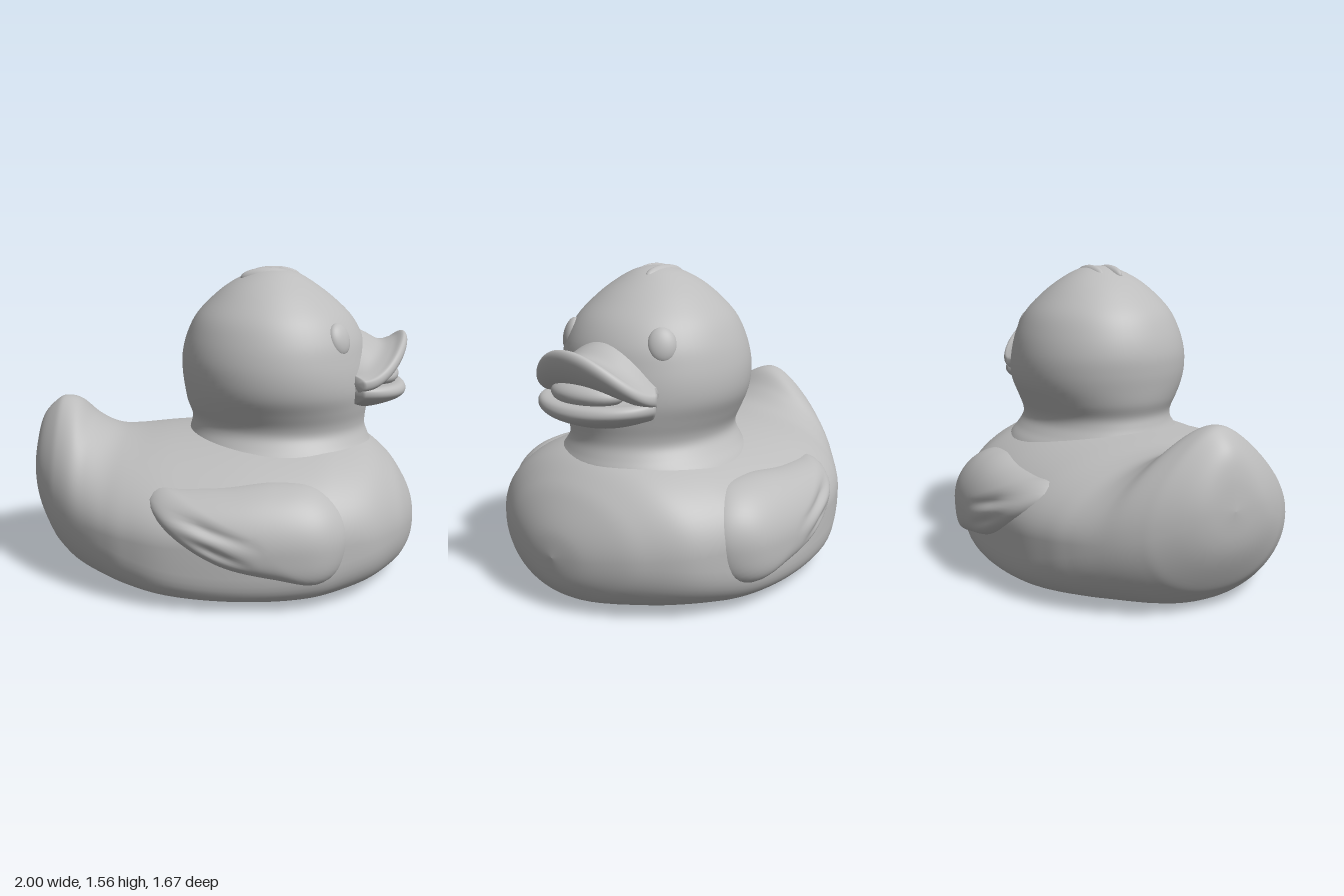
import * as THREE from 'three';

const rubber = new THREE.MeshStandardMaterial({ color: 0xbcbcbc });
rubber.name = 'grey rubber';

// Smooth interpolation through rows of numbers, u from 0 to 1
function spline(rows, u) {
  const n = rows.length - 1, f = Math.min(u * n, n - 1e-9), i = Math.floor(f), t = f - i;
  const at = k => rows[Math.max(0, Math.min(n, k))];
  const [a, b, c, d] = [at(i - 1), at(i), at(i + 1), at(i + 2)];
  return b.map((_, k) => b[k] + 0.5 * t * (c[k] - a[k]
    + t * (2 * a[k] - 5 * b[k] + 4 * c[k] - d[k] + t * (3 * (b[k] - c[k]) + d[k] - a[k]))));
}

// Closed skin over a row of closed loops, both ends capped, faces turned outward
function loft(name, loops) {
  const m = loops[0].length, pos = loops.flat(2), idx = [];
  for (let i = 0; i < loops.length - 1; i++) {
    for (let j = 0; j < m; j++) {
      const k = (j + 1) % m, a = i * m + j, b = i * m + k, c = a + m, d = b + m;
      idx.push(a, c, b, b, c, d);
    }
  }
  [0, loops.length - 1].forEach((row, end) => {
    const centre = pos.length / 3;
    for (let k = 0; k < 3; k++) pos.push(loops[row].reduce((s, p) => s + p[k], 0) / m);
    for (let j = 0; j < m; j++) {
      const a = row * m + j, b = row * m + (j + 1) % m;
      end ? idx.push(b, a, centre) : idx.push(a, b, centre);
    }
  });
  const v = i => new THREE.Vector3().fromArray(pos, i * 3);
  let volume = 0;
  for (let i = 0; i < idx.length; i += 3) volume += v(idx[i]).dot(v(idx[i + 1]).cross(v(idx[i + 2])));
  if (volume < 0) idx.reverse();
  const geo = new THREE.BufferGeometry();
  geo.setAttribute('position', new THREE.Float32BufferAttribute(pos, 3));
  geo.setIndex(idx);
  geo.computeVertexNormals();
  const mesh = new THREE.Mesh(geo, rubber);
  mesh.name = name;
  return mesh;
}

function ellipsoid(name, [x, y, z], [rx, ry, rz]) {
  const mesh = new THREE.Mesh(new THREE.SphereGeometry(1, 32, 20), rubber);
  mesh.name = name;
  mesh.position.set(x, y, z);
  mesh.scale.set(rx, ry, rz);
  return mesh;
}

// Body stations from tail to breast: x, bottom, top, half width, height of widest line
const BODY = [
  [-1, .525, .525, 0, .525], [-.985, .38, .68, .14, .52], [-.95, .27, .79, .235, .47],
  [-.88, .14, .865, .345, .42], [-.83, .08, .885, .405, .40], [-.76, .025, .865, .475, .38],
  [-.68, .003, .785, .54, .36], [-.58, 0, .72, .61, .35], [-.46, 0, .705, .675, .34],
  [-.25, 0, .72, .745, .33], [.1, 0, .74, .775, .33], [.4, 0, .74, .755, .33],
  [.57, .003, .73, .695, .33], [.73, .01, .69, .6, .32], [.85, .025, .60, .455, .31],
  [.92, .06, .51, .335, .30], [.98, .14, .39, .165, .28], [1, .27, .27, 0, .27],
];
// Squareness of the underside, greatest amidships so the flat base is oval
const lowerPower = x => 2.1 + 3.6 * Math.max(0, 1 - ((x - .08) / .88) ** 2) ** 2;

function makeBody() {
  const loops = [];
  for (let i = 0; i <= 110; i++) {
    const [x, b, t, w, m] = spline(BODY, i / 110), loop = [];
    // The upper half narrows to a blunt horn at the tail
    const pinch = .38 * THREE.MathUtils.smoothstep(-x, .4, .85);
    for (let j = 0; j < 72; j++) {
      const a = j / 72 * Math.PI * 2, c = Math.cos(a), s = Math.sin(a);
      const e = 2 / lowerPower(x);
      loop.push(s < 0
        ? [x, m - (m - b) * Math.abs(s) ** e, w * Math.sign(c) * Math.abs(c) ** e]
        : [x, m + (t - m) * s, w * c * (1 - pinch * s * s)]);
    }
    loops.push(loop);
  }
  return loft('body', loops);
}

// Body half width and upward lean at a point of the side
function bodySide(x, y) {
  let lo = 0, hi = 1;
  for (let i = 0; i < 30; i++) {
    const mid = (lo + hi) / 2;
    if (spline(BODY, mid)[0] < x) lo = mid; else hi = mid;
  }
  const [, b, t, w, m] = spline(BODY, lo);
  const r = y > m ? (y - m) / (t - m) : (y - m) / (m - b);
  const p = y > m ? 2 : lowerPower(x);
  return { z: w * Math.max(0, 1 - Math.abs(r) ** p) ** (1 / p), lean: Math.max(0, r) };
}

// Wing: a pad that follows the side of the body, with feather grooves
function makeWing(name, side) {
  const outline = new THREE.CatmullRomCurve3([
    [-.345, .53], [-.31, .57], [-.2, .575], [0, .585], [.27, .607], [.46, .58], [.565, .48], [.595, .35],
    [.55, .2], [.46, .15], [.27, .185], [0, .25], [-.18, .35], [-.31, .46],
  ].map(([x, y]) => new THREE.Vector3(x, y, 0)), true);
  const rim = outline.getSpacedPoints(72).slice(0, 72);
  const grooves = [[-.3, .5, .15, .37], [-.2, .4, .12, .28]];
  const loops = [];
  for (let k = 0; k < 22; k++) {
    const s = Math.cos(k / 22 * Math.PI / 2);
    loops.push(rim.map(p => {
      const x = .15 + (p.x - .15) * s, y = .4 + (p.y - .4) * s;
      let h = .08 * (1 - s ** 5) ** .6 - .02;
      for (const [x0, y0, x1, y1] of grooves) {
        const f = (x - x0) / (x1 - x0), gap = y - (y0 + (y1 - y0) * f);
        const fade = Math.max(0, 1 - Math.abs(f - .5) * 1.6);
        h -= .02 * fade * Math.exp(-((gap / .025) ** 2)) * (1 - s ** 6);
      }
      const { z, lean } = bodySide(x, y);
      return [x, y + h * .6 * lean, side * (z + h)];
    }));
  }
  return loft(name, loops);
}

// Head and neck levels: y, back x, front x, half width
const HEAD = [
  [.62, -.2, .78, .485], [.66, -.2, .77, .457], [.70, -.19, .752, .42], [.75, -.175, .735, .388],
  [.80, -.17, .735, .39],
  [.87, -.195, .745, .42], [.95, -.21, .75, .455], [1.03, -.22, .745, .467], [1.12, -.22, .73, .46],
  [1.22, -.195, .705, .433], [1.32, -.145, .645, .382], [1.41, -.06, .55, .3],
  [1.48, .03, .455, .212], [1.53, .13, .37, .12], [1.552, .21, .3, .04],
];

function makeHead() {
  const loops = [];
  for (let i = 0; i <= 70; i++) {
    const [y, x0, x1, w] = spline(HEAD, i / 70), loop = [];
    for (let j = 0; j < 64; j++) {
      const a = j / 64 * Math.PI * 2;
      loop.push([(x0 + x1) / 2 + (x1 - x0) / 2 * Math.cos(a), y, w * Math.sin(a)]);
    }
    loops.push(loop);
  }
  return loft('head', loops);
}

// Bill half; profile rows: middle x, middle y, corner x, corner y, half width
function makeBill(name, rows) {
  const loops = [];
  for (let i = 0; i <= 48; i++) {
    const a = (i / 48 - .5) * Math.PI, c = Math.cos(a), loop = [];
    for (let j = 0; j <= 40; j++) {
      const [x, y, xe, ye, w] = spline(rows, j / 40);
      loop.push([xe + (x - xe) * c, ye + (y - ye) * c * c, w * Math.sin(a)]);
    }
    loops.push(loop);
  }
  return loft(name, loops);
}

export function createModel() {
  const duck = new THREE.Group();
  duck.name = 'toyDuck';
  duck.add(makeBody(), makeWing('leftWing', 1), makeWing('rightWing', -1));

  const head = new THREE.Group();
  head.name = 'headGroup';
  head.position.z = -.025;
  head.add(makeHead());

  // Eyes turned to lie on the head
  for (const side of [1, -1]) {
    const eye = ellipsoid(side > 0 ? 'leftEye' : 'rightEye', [.565, 1.23, side * .283], [.068, .082, .038]);
    eye.rotation.set(side * -.3, side * .8, 0, 'YXZ');
    head.add(eye);
  }

  // Low crest ridges
  for (const [x, z] of [[.22, .045], [.25, -.045]]) {
    head.add(ellipsoid('crestRidge', [x, 1.506, z], [.14, .052, .04]));
  }

  // Open bill with rounded corners
  const bill = new THREE.Group();
  bill.name = 'bill';
  bill.position.z = -.02;
  bill.add(makeBill('upperBill', [
    [.60, 1.28, .55, 1.05, .26], [.72, 1.225, .63, 1.05, .28], [.80, 1.185, .655, 1.045, .30],
    [.87, 1.2, .675, 1.035, .32], [.92, 1.23, .685, 1.025, .332], [.94, 1.2, .69, 1.005, .335],
    [.925, 1.14, .685, .985, .33], [.88, 1.08, .67, .97, .315], [.81, 1.05, .65, .965, .28],
    [.60, 1.04, .55, .965, .24],
  ]));
  bill.add(makeBill('lowerBill', [
    [.60, 1.0, .55, .99, .26], [.82, .98, .64, .99, .28], [.91, .98, .67, .99, .31],
    [.94, .955, .685, .975, .325], [.935, .92, .685, .945, .322], [.88, .885, .665, .915, .295],
    [.75, .845, .62, .89, .245], [.60, .84, .55, .89, .2],
  ]));
  bill.add(ellipsoid('tongue', [.78, 1.015, 0], [.125, .068, .2]));
  head.add(bill);

  duck.add(head);
  return duck;
}
